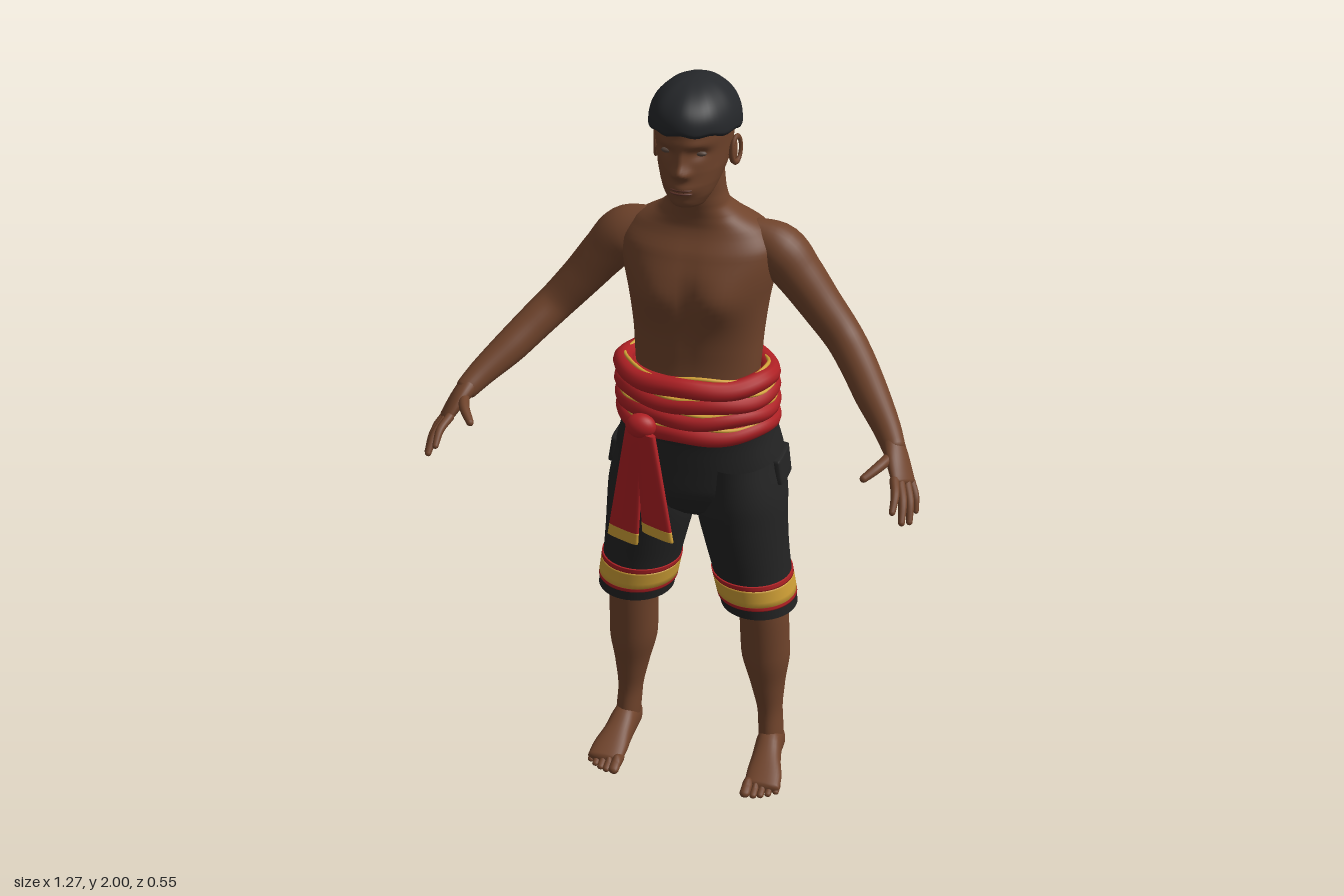
import * as THREE from 'three';

const mat = (name, color, side = THREE.FrontSide) => {
  const m = new THREE.MeshStandardMaterial({ color, side });
  m.name = name;
  return m;
};
const V = (x, y, z) => new THREE.Vector3(x, y, z);
const bell = (d, s) => Math.exp(-(d * d) / (s * s));

// Lofts rows of [x, y, z, halfWidth, halfDepth]; 'round' domes the start and end
function loft(rows, { side = V(1, 0, 0), axis, n = 28, per = 4, power = 2, round = [], warp } = {}) {
  const path = new THREE.CatmullRomCurve3(rows.map(r => V(r[0], r[1], r[2])));
  const size = new THREE.CatmullRomCurve3(rows.map(r => V(r[3], r[4], 0)));
  const steps = (rows.length - 1) * per, rings = [];
  for (let i = 0; i <= steps; i++) {
    const t = i / steps, s = size.getPoint(t);
    rings.push({ c: path.getPoint(t), T: axis || path.getTangent(t), a: s.x, b: s.y });
  }
  const dome = (ring, ratio, dir) => [1, 2, 3, 4].map(k => {
    const q = k * Math.PI / 8, w = Math.max(Math.cos(q), 0.002);
    const h = dir * ratio * Math.min(ring.a, ring.b) * Math.sin(q);
    return { c: ring.c.clone().addScaledVector(ring.T, h), T: ring.T, a: ring.a * w, b: ring.b * w };
  });
  const first = rings[0], last = rings[steps];
  if (round[0]) rings.unshift(...dome(first, round[0], -1).reverse());
  if (round[1]) rings.push(...dome(last, round[1], 1));
  const pos = [], idx = [], bend = v => Math.sign(v) * Math.abs(v) ** (2 / power);
  rings.forEach(({ c, T, a, b }, i) => {
    const U = side.clone().addScaledVector(T, -side.dot(T)).normalize();
    const W = T.clone().cross(U);
    for (let j = 0; j < n; j++) {
      const q = j / n * Math.PI * 2;
      const p = c.clone().addScaledVector(U, a * bend(Math.cos(q))).addScaledVector(W, b * bend(Math.sin(q)));
      if (warp) warp(p, c);
      pos.push(p.x, p.y, p.z);
      if (i) {
        const k = (j + 1) % n, A = (i - 1) * n, B = i * n;
        idx.push(A + j, A + k, B + k, A + j, B + k, B + j);
      }
    }
  });
  const g = new THREE.BufferGeometry();
  g.setAttribute('position', new THREE.Float32BufferAttribute(pos, 3));
  g.setIndex(idx);
  g.computeVertexNormals();
  return g;
}

// Reflects a geometry across x and restores its winding
function mirror(geo) {
  const g = geo.clone().scale(-1, 1, 1), ix = g.index.array;
  for (let i = 0; i < ix.length; i += 3) [ix[i], ix[i + 1]] = [ix[i + 1], ix[i]];
  g.computeVertexNormals();
  return g;
}

const ball = (x, y, z, a, b, c) => new THREE.SphereGeometry(1, 24, 16).scale(a, b, c).translate(x, y, z);

export function createModel() {
  const skin = mat('skin', 0x6f432b), black = mat('blackCloth', 0x232323, THREE.DoubleSide);
  const hair = mat('hair', 0x25272a), red = mat('redCloth', 0xae2024), gold = mat('goldTrim', 0xd0a036);
  const eye = mat('eyes', 0x57463d), lip = mat('lips', 0x5b3228);
  const model = new THREE.Group();
  const add = (name, geo, m) => {
    const mesh = new THREE.Mesh(geo, m);
    mesh.name = name;
    model.add(mesh);
    return mesh;
  };
  const pair = (name, geo, m) => {
    add('left' + name, geo, m);
    add('right' + name, mirror(geo), m);
  };
  const up = V(0, 1, 0), down = V(0, -1, 0);

  // Torso and neck, with chest, shoulder blades and spine groove
  add('torso', loft([
    [0, 1.08, -0.09, 0.15, 0.11], [0, 1.24, -0.1, 0.163, 0.103], [0, 1.32, -0.107, 0.168, 0.112],
    [0, 1.42, -0.112, 0.18, 0.128], [0, 1.5, -0.115, 0.195, 0.13], [0, 1.56, -0.12, 0.2, 0.115],
    [0, 1.61, -0.125, 0.165, 0.095], [0, 1.645, -0.113, 0.108, 0.08], [0, 1.675, -0.098, 0.078, 0.07],
    [0, 1.71, -0.09, 0.07, 0.068], [0, 1.76, -0.08, 0.068, 0.066], [0, 1.8, -0.08, 0.06, 0.06],
  ], {
    axis: up, n: 64, per: 5, power: 2.2, warp: (p, c) => {
      const x = Math.abs(p.x), f = Math.min(1, Math.abs(p.z - c.z) / 0.06);
      if (p.z > c.z) {
        p.z += f * 0.02 * bell(x - 0.08, 0.065) * bell(p.y - 1.445, 0.055);
        p.z -= f * 0.006 * bell(x, 0.02) * bell(p.y - 1.42, 0.13);
      } else {
        p.z += f * 0.014 * bell(x, 0.03) * bell(p.y - 1.42, 0.15);
        p.z -= f * 0.01 * bell(x - 0.1, 0.05) * bell(p.y - 1.5, 0.07);
      }
    },
  }), skin);

  // Head with brow, eye sockets, nose, lips and chin
  add('head', loft([
    [0, 1.712, -0.012, 0.045, 0.055], [0, 1.735, -0.02, 0.06, 0.073], [0, 1.765, -0.038, 0.073, 0.098],
    [0, 1.8, -0.055, 0.084, 0.113], [0, 1.84, -0.066, 0.09, 0.122], [0, 1.88, -0.068, 0.094, 0.13],
    [0, 1.92, -0.068, 0.095, 0.13], [0, 1.96, -0.07, 0.075, 0.1],
  ], {
    axis: up, n: 96, per: 8, round: [0.3, 0.3], warp: p => {
      if (p.z < 0) return;
      const x = Math.abs(p.x);
      p.z += 0.019 * bell(x, 0.017) * bell(p.y - 1.802, 0.017) + 0.01 * bell(x, 0.012) * bell(p.y - 1.83, 0.025)
        + 0.007 * bell(x - 0.016, 0.01) * bell(p.y - 1.797, 0.01) + 0.005 * bell(x - 0.035, 0.03) * bell(p.y - 1.868, 0.012)
        - 0.011 * bell(x - 0.04, 0.02) * bell(p.y - 1.846, 0.015) + 0.007 * bell(x, 0.035) * bell(p.y - 1.755, 0.016)
        + 0.006 * bell(x, 0.03) * bell(p.y - 1.718, 0.014);
    },
  }), skin);
  pair('Eye', ball(0.04, 1.845, 0.03, 0.016, 0.007, 0.009), eye);
  for (const y of [1.758, 1.749]) add('lip', ball(0, y, 0.053, 0.028, 0.005, 0.0135), lip);
  pair('Ear', ball(0.093, 1.82, -0.072, 0.01, 0.034, 0.021), skin);
  pair('EarRim', new THREE.TorusGeometry(0.02, 0.005, 8, 24).scale(1, 1.6, 1).rotateY(Math.PI / 2 - 0.3)
    .translate(0.101, 1.822, -0.074), skin);

  // Hair cap, lower at the nape and with an uneven edge
  const cap = new THREE.SphereGeometry(1, 56, 28, 0, Math.PI * 2, 0, Math.PI * 0.6);
  const cp = cap.attributes.position;
  for (let i = 0; i < cp.count; i++) {
    const x = cp.getX(i), y = cp.getY(i), z = cp.getZ(i), low = 1 - Math.max(0, y), q = Math.atan2(z, x);
    const h = y > 0 ? y ** 0.92 * 0.112 : y * 0.035;
    cp.setXYZ(i, x * 0.11, 1.888 + h + low * (0.018 * z + 0.003 * Math.sin(q * 9)), z * 0.147 - 0.072);
  }
  cap.computeVertexNormals();
  add('hair', cap, hair);

  // Arms, palms and fingers
  pair('Arm', loft([
    [0.13, 1.568, -0.125, 0.045, 0.06], [0.2, 1.543, -0.13, 0.067, 0.068], [0.25, 1.49, -0.127, 0.062, 0.061],
    [0.31, 1.418, -0.118, 0.054, 0.054], [0.375, 1.345, -0.1, 0.048, 0.049], [0.42, 1.3, -0.06, 0.046, 0.047],
    [0.47, 1.25, 0, 0.042, 0.044], [0.525, 1.2, 0.07, 0.033, 0.035], [0.552, 1.172, 0.112, 0.028, 0.029],
  ], { side: V(0, 0, 1), n: 32, per: 5, round: [1, 0.6] }), skin);
  pair('Palm', loft([
    [0.545, 1.182, 0.098, 0.029, 0.027], [0.567, 1.152, 0.135, 0.037, 0.021], [0.588, 1.116, 0.165, 0.039, 0.015],
  ], { side: V(0.04, -0.025, -0.055), round: [0.6, 0.8] }), skin);
  const fingers = [
    ['Thumb', [0.55, 1.162, 0.135], [0.502, 1.14, 0.222], 0.013],
    ['IndexFinger', [0.57, 1.127, 0.188], [0.582, 1.082, 0.262], 0.0105],
    ['MiddleFinger', [0.583, 1.117, 0.18], [0.605, 1.055, 0.258], 0.011],
    ['RingFinger', [0.596, 1.109, 0.163], [0.619, 1.042, 0.228], 0.0105],
    ['LittleFinger', [0.604, 1.103, 0.141], [0.626, 1.047, 0.182], 0.009],
  ];
  for (const [name, a, b, r] of fingers) {
    const m = a.map((v, i) => (v + b[i]) / 2 + (i === 2 ? 0.004 : 0.005));
    pair(name, loft([[...a, r * 1.1, r * 1.1], [...m, r, r], [...b, r * 0.75, r * 0.75]],
      { n: 14, round: [1, 1] }), skin);
  }

  // Lower legs, feet and toes
  pair('Leg', loft([
    [0.165, 0.72, -0.1, 0.065, 0.068], [0.183, 0.5, -0.108, 0.067, 0.067], [0.188, 0.36, -0.118, 0.067, 0.068],
    [0.195, 0.25, -0.124, 0.048, 0.056], [0.203, 0.15, -0.127, 0.034, 0.046], [0.208, 0.08, -0.122, 0.034, 0.048],
    [0.21, 0.035, -0.12, 0.03, 0.045],
  ], { axis: down, n: 32, per: 5 }), skin);
  pair('Foot', loft([
    [0.209, 0.036, -0.168, 0.026, 0.03], [0.21, 0.046, -0.14, 0.035, 0.045], [0.211, 0.052, -0.09, 0.037, 0.051],
    [0.216, 0.04, -0.04, 0.041, 0.039], [0.223, 0.028, 0.01, 0.049, 0.027], [0.226, 0.019, 0.05, 0.049, 0.018],
  ], { axis: V(0, 0, 1), n: 32, power: 2.3, round: [0.7, 0.6] }), skin);
  [0, 1, 2, 3, 4].forEach(i => {
    const x = i ? 0.192 + i * 0.0185 : 0.188, r = i ? 0.0105 - i * 0.0004 : 0.0145, tip = 0.088 - i * i * 0.0022;
    pair('Toe', loft([[x, 0.018, 0.035, r, r], [x, r + 0.005, tip - 0.02, r, r], [x, r, tip, r, r * 0.85]],
      { n: 14, round: [1, 1] }), skin);
  });

  // Shorts: seat and two open legs
  add('shortsSeat', loft([
    [0, 1.12, -0.095, 0.192, 0.14], [0, 1.05, -0.115, 0.203, 0.148], [0, 0.97, -0.12, 0.224, 0.151],
    [0, 0.9, -0.108, 0.23, 0.138], [0, 0.84, -0.1, 0.19, 0.105], [0, 0.805, -0.095, 0.1, 0.06],
  ], { axis: down, n: 56, power: 2.25, round: [0, 0.1] }), black);
  pair('ShortsLeg', loft([
    [0.112, 0.98, -0.118, 0.105, 0.145], [0.12, 0.88, -0.103, 0.118, 0.136], [0.124, 0.81, -0.093, 0.119, 0.122],
    [0.136, 0.73, -0.09, 0.112, 0.112], [0.15, 0.65, -0.092, 0.106, 0.106], [0.172, 0.53, -0.1, 0.103, 0.106],
  ], { axis: down, n: 48 }), black);
  // Hem bands wrapped just outside each leg
  const hemRow = y => {
    const t = (0.65 - y) / 0.12;
    return [0.15 + 0.022 * t, y, -0.092 - 0.008 * t, 0.1095 - 0.003 * t, 0.11];
  };
  const band = (name, top, bottom, m) => pair(name, loft([hemRow(top), hemRow(bottom)], { axis: down, n: 48, round: [0.01, 0.01] }), m);
  band('HemTopStripe', 0.637, 0.623, red);
  band('HemBand', 0.623, 0.571, gold);
  band('HemLowerStripe', 0.571, 0.56, red);
  // Pocket flaps
  pair('BackPocket', loft([[0.1, 1.0, -0.25, 0.06, 0.02], [0.105, 0.93, -0.238, 0.058, 0.02]],
    { axis: down, side: V(1, 0, 0.28), power: 4, round: [0.2, 0.2] }), black);
  pair('SidePocket', loft([[0.214, 0.98, -0.12, 0.016, 0.055], [0.224, 0.915, -0.115, 0.016, 0.052]],
    { axis: down, power: 4, round: [0.2, 0.2] }), black);

  // Waist wrap: filled core, four wavy rolls and gold edges
  add('wrapCore', loft([[0, 1.07, -0.1, 0.19, 0.155], [0, 1.225, -0.085, 0.19, 0.145]],
    { axis: up, n: 48, round: [0.01, 0.01] }), red);
  const hoop = (y, cz, rx, rz, r, wave, phase) => {
    const pts = Array.from({ length: 40 }, (_, i) => {
      const q = i / 40 * Math.PI * 2;
      return V(rx * Math.cos(q), y + wave * Math.sin(5 * q + phase), cz + rz * Math.sin(q));
    });
    return new THREE.TubeGeometry(new THREE.CatmullRomCurve3(pts, true), 120, r, 12, true);
  };
  [1.222, 1.178, 1.134, 1.088].forEach((y, i) => {
    const cz = -0.085 - i * 0.006, rz = 0.139 + i * 0.003;
    add('wrapRoll', hoop(y, cz, 0.191, rz, 0.026, 0.004, i * 1.9), red);
    add('wrapEdge', hoop(y + 0.023, cz, i ? 0.203 : 0.186, rz + (i ? 0.012 : -0.005), 0.005, 0.006, i * 1.9 + 1), gold);
  });

  // Knot and hanging sash tails with gold ends
  add('sashKnot', ball(-0.1, 1.115, 0.078, 0.04, 0.033, 0.028), red);
  const tail = (name, top, end, trim) => {
    const at = t => top.map((v, i) => v + (end[i] - v) * t);
    const opts = { axis: down, side: V(1, 0, 0.4), n: 24, power: 3, round: [0.1, 0.1] };
    add(name, loft([at(0), at(0.5), at(trim)], opts), red);
    add(name + 'End', loft([at(trim), at(1)], opts), gold);
  };
  tail('outerSashTail', [-0.115, 1.1, 0.075, 0.03, 0.01], [-0.157, 0.762, 0.064, 0.05, 0.008], 0.9);
  tail('innerSashTail', [-0.085, 1.1, 0.088, 0.03, 0.01], [-0.047, 0.815, 0.112, 0.05, 0.008], 0.9);

  return model;
}
